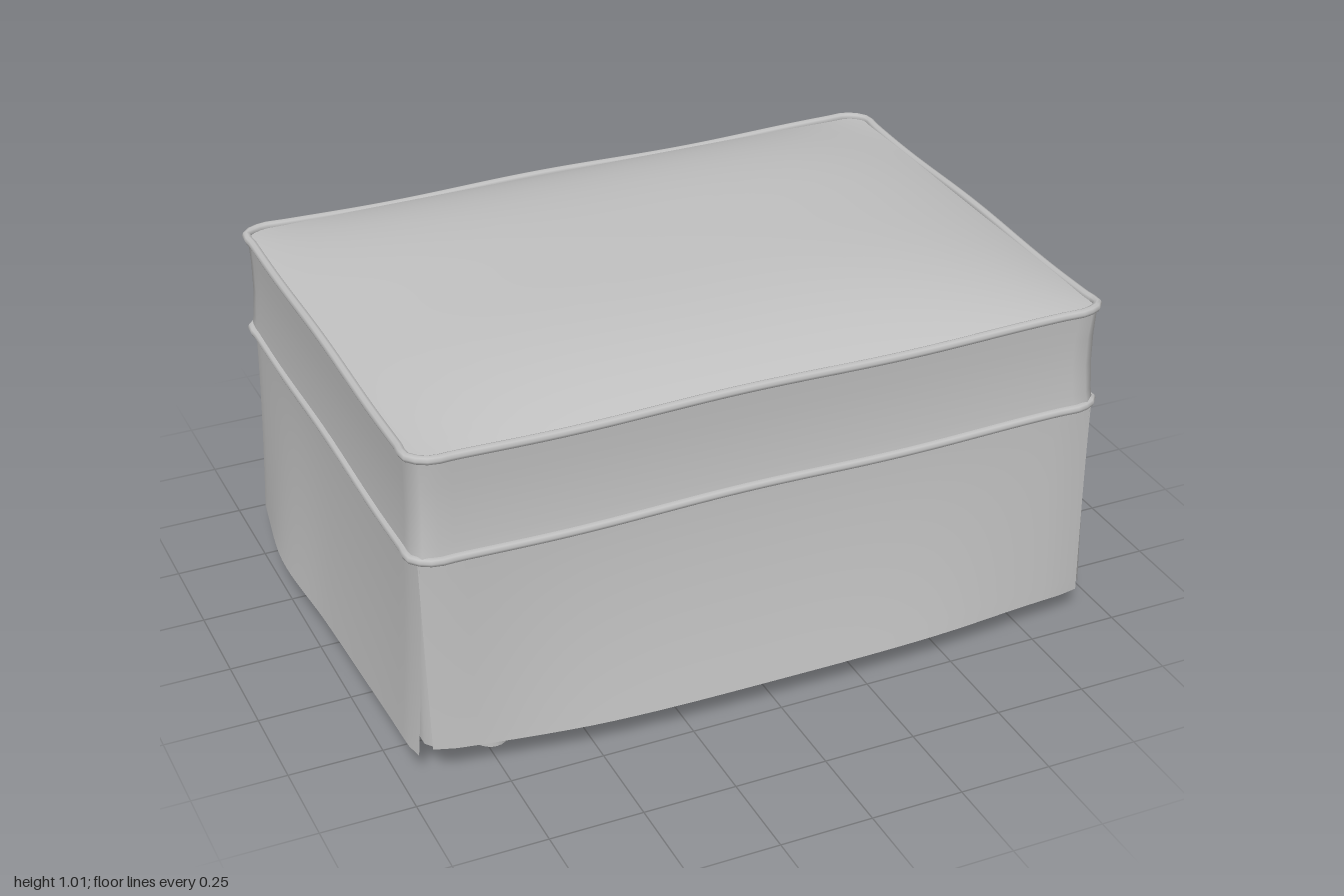
import * as THREE from 'three';

const fabric = new THREE.MeshStandardMaterial({ color: 0xc0c0c0, side: THREE.DoubleSide });
fabric.name = 'grey fabric';

// Evenly spaced points around a rounded rectangle in the xz plane
function outline(hx, hz, r, n = 160) {
  const s = new THREE.Shape();
  s.moveTo(hx, -hz + r);
  s.lineTo(hx, hz - r);
  s.absarc(hx - r, hz - r, r, 0, Math.PI / 2);
  s.lineTo(-hx + r, hz);
  s.absarc(-hx + r, hz - r, r, Math.PI / 2, Math.PI);
  s.lineTo(-hx, -hz + r);
  s.absarc(-hx + r, -hz + r, r, Math.PI, Math.PI * 1.5);
  s.lineTo(hx - r, -hz);
  s.absarc(hx - r, -hz + r, r, Math.PI * 1.5, Math.PI * 2);
  return s.getSpacedPoints(n).slice(0, n);
}

// Smooth skin over a stack of closed rings
function loft(rings) {
  const n = rings[0].length, pos = [], index = [];
  rings.forEach(ring => ring.forEach(p => pos.push(p.x, p.y, p.z)));
  for (let k = 0; k < rings.length - 1; k++) {
    for (let i = 0; i < n; i++) {
      const j = (i + 1) % n, a = k * n + i, b = k * n + j;
      index.push(a, a + n, b, b, a + n, b + n);
    }
  }
  const g = new THREE.BufferGeometry();
  g.setAttribute('position', new THREE.Float32BufferAttribute(pos, 3));
  g.setIndex(index);
  g.computeVertexNormals();
  return g;
}

const ringAt = (hx, hz, r, y) => outline(hx, hz, r).map(p => new THREE.Vector3(p.x, y, p.y));

// Slight sag of the sewn seams
const sag = (x, z) => 0.004 * Math.cos(x * 7 + 0.6) + 0.004 * Math.cos(z * 8);

export function createModel() {
  const group = new THREE.Group();
  const add = (name, geometry) => {
    const mesh = new THREE.Mesh(geometry, fabric);
    mesh.name = name;
    group.add(mesh);
    return mesh;
  };

  // Inner base and its flat underside
  add('base', loft([ringAt(0.93, 0.655, 0.03, 0.085), ringAt(0.93, 0.655, 0.03, 0.64)]));
  add('underside', loft([0.001, 1].map(s => ringAt(0.93 * s, 0.655 * s, 0.03 * s, 0.085))));

  // Cushion wall, drawn in a little between the seams
  add('cushionSide', loft([
    [0.945, 0.675, 0.64], [0.941, 0.669, 0.68], [0.937, 0.665, 0.76],
    [0.937, 0.665, 0.84], [0.94, 0.67, 0.918],
  ].map(([hx, hz, y]) => ringAt(hx, hz, 0.04, y))));

  // Crowned cushion top
  const rise = (v, h) => 1 - Math.pow(Math.min(1, Math.abs(v) / h), 3.5);
  const topRings = [1, 0.985, 0.96, 0.92, 0.86, 0.78, 0.68, 0.56, 0.42, 0.28, 0.14, 0.001].map(s =>
    outline(0.94, 0.67, 0.04).map(p => {
      const x = p.x * s, z = p.y * s;
      return new THREE.Vector3(x, 0.92 + 0.095 * rise(x, 0.94) * rise(z, 0.67), z);
    }));
  add('cushionTop', loft(topRings));

  // Piping along both seams
  for (const [name, y, hx, hz] of [['upperPiping', 0.918, 0.94, 0.67], ['lowerPiping', 0.638, 0.944, 0.674]]) {
    const path = outline(hx, hz, 0.035, 100).map(p => new THREE.Vector3(p.x, y + sag(p.x, p.y), p.y));
    add(name, new THREE.TubeGeometry(new THREE.CatmullRomCurve3(path, true), 240, 0.012, 8, true));
  }

  // Loose skirt panels: half width, wall distance, hem distance across the panel, turn
  const panels = [
    ['skirtFront', 0.935, 0.67, [0.682, 0.73, 0.74, 0.733, 0.69], 0],
    ['skirtLeft', 0.66, 0.942, [0.96, 1.0, 0.99, 0.985, 0.95], Math.PI / 2],
    ['skirtBack', 0.925, 0.67, [0.69, 0.738, 0.735, 0.733, 0.742], Math.PI],
    ['skirtRight', 0.66, 0.942, [0.957, 1.0, 0.985, 0.975, 0.965], -Math.PI / 2],
  ];
  for (const [name, half, wall, hem, turn] of panels) {
    const curve = new THREE.SplineCurve(hem.map((d, i) => new THREE.Vector2(i / 4, d)));
    const g = new THREE.PlaneGeometry(2, 1, 32, 14);
    const pos = g.attributes.position;
    for (let i = 0; i < pos.count; i++) {
      const u = pos.getX(i), t = 0.5 - pos.getY(i);
      const out = curve.getPoint((u + 1) / 2).y;
      const tuck = 0.012 * Math.pow(Math.abs(u), 30); // edges curl in at the corner slits
      pos.setXYZ(i, u * (half - 0.012 * t), 0.638 - 0.555 * t + 0.012 * t * Math.abs(u) ** 4 * Math.sign(hem[0] - hem[4]) * u,
        wall + (out - wall) * Math.pow(t, 1.6) - tuck);
    }
    g.computeVertexNormals();
    add(name, g).rotation.y = turn;
  }

  // Short round feet
  for (const x of [-0.73, 0.725]) {
    for (const z of [0.54, -0.52]) {
      const foot = add('foot', new THREE.CylinderGeometry(1, 0.97, 0.1, 24));
      foot.scale.set(0.052, 1, 0.064);
      foot.position.set(x, 0.05, z);
    }
  }
  return group;
}
